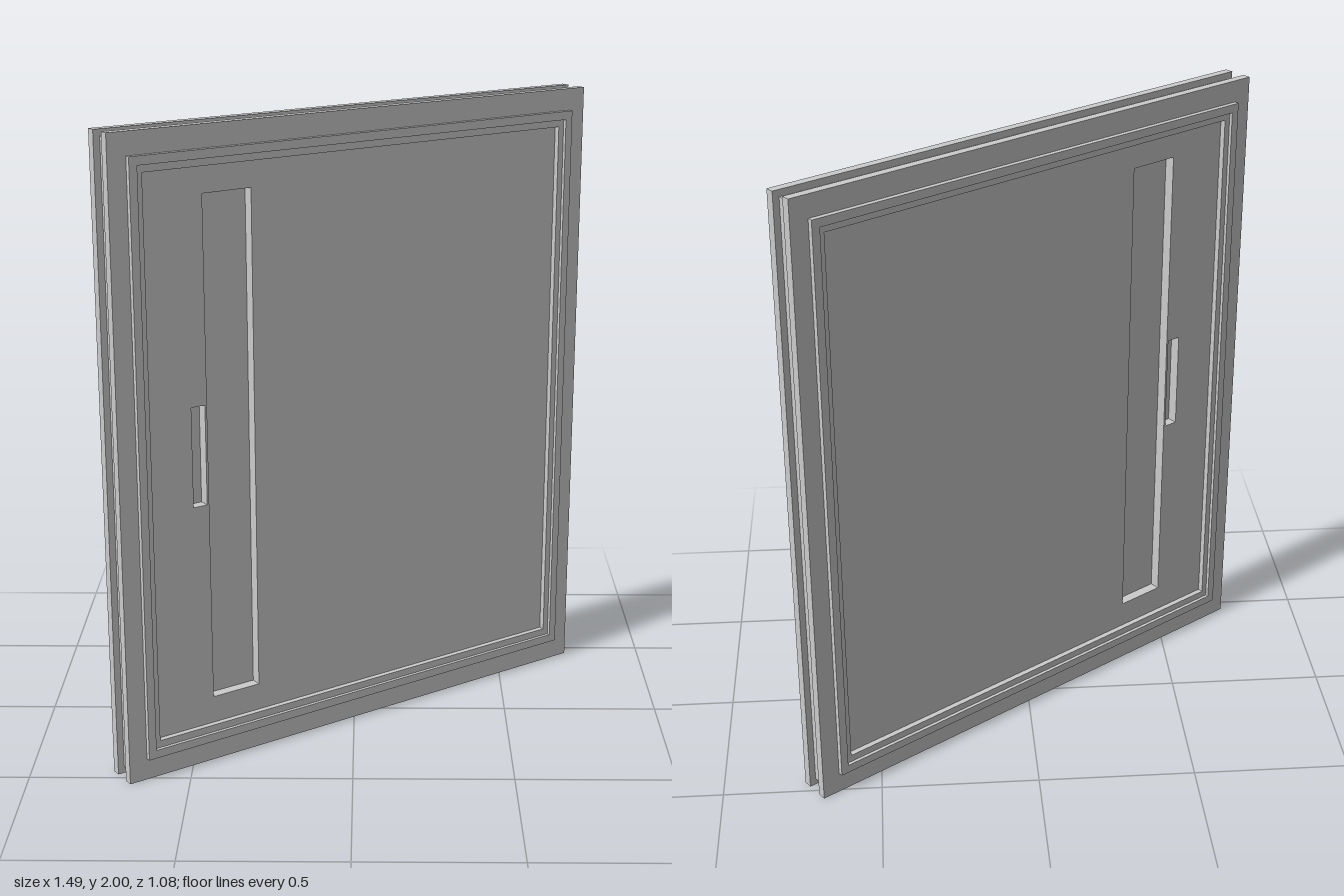
import * as THREE from 'three';

const material = new THREE.MeshStandardMaterial({ color: 0xcccccc });

// Trace a rectangle into a Shape or Path
function rect(target, x0, x1, y0, y1) {
  target.moveTo(x0, y0);
  target.lineTo(x1, y0);
  target.lineTo(x1, y1);
  target.lineTo(x0, y1);
  target.closePath();
  return target;
}

// Rectangular slab between z0 and z1 with rectangular openings
function slab(name, outer, holes, z0, z1) {
  const shape = rect(new THREE.Shape(), ...outer);
  for (const h of holes) shape.holes.push(rect(new THREE.Path(), ...h));
  const geometry = new THREE.ExtrudeGeometry(shape, { depth: z1 - z0, bevelEnabled: false });
  geometry.translate(0, 0, z0);
  const mesh = new THREE.Mesh(geometry, material);
  mesh.name = name;
  return mesh;
}

// Rectangle inset from the 1.74 x 2 outline of the door
const inset = (d, dy = d) => [-0.87 + d, 0.87 - d, dy, 2 - dy];

export function createModel() {
  const group = new THREE.Group();
  group.name = 'slidingDoor';

  const beadOuter = inset(0.06, 0.07);
  const beadInner = inset(0.086, 0.097);
  const opening = inset(0.106, 0.12);
  const windowSlot = [-0.561, -0.395, 0.207, 1.797];
  const fingerPull = [-0.615, -0.568, 0.845, 1.16];

  // Core set back behind the two faces, leaving a groove around the edge
  group.add(slab('frameCore', inset(0.021), [opening], -0.026, 0.026));

  // Face frame, raised bead and inner step on both sides
  for (const [side, s] of [['front', 1], ['back', -1]]) {
    const layer = (part, outer, inner, a, b) =>
      group.add(slab(side + part, outer, [inner], Math.min(s * a, s * b), Math.max(s * a, s * b)));
    layer('Frame', inset(0), beadInner, 0.025, 0.053);
    layer('Bead', beadOuter, beadInner, 0.053, 0.069);
    layer('InnerStep', beadInner, opening, 0.025, 0.058);
  }

  // Recessed panel with the tall window slot and the finger pull cut into it
  group.add(slab('panel', opening, [windowSlot, fingerPull], -0.04, 0.04));
  group.add(slab('windowPane', windowSlot, [], -0.006, 0.006));
  group.add(slab('fingerPullFloor', fingerPull, [], -0.006, 0.006));

  // The door stands at an angle
  group.rotation.y = THREE.MathUtils.degToRad(35);
  return group;
}
